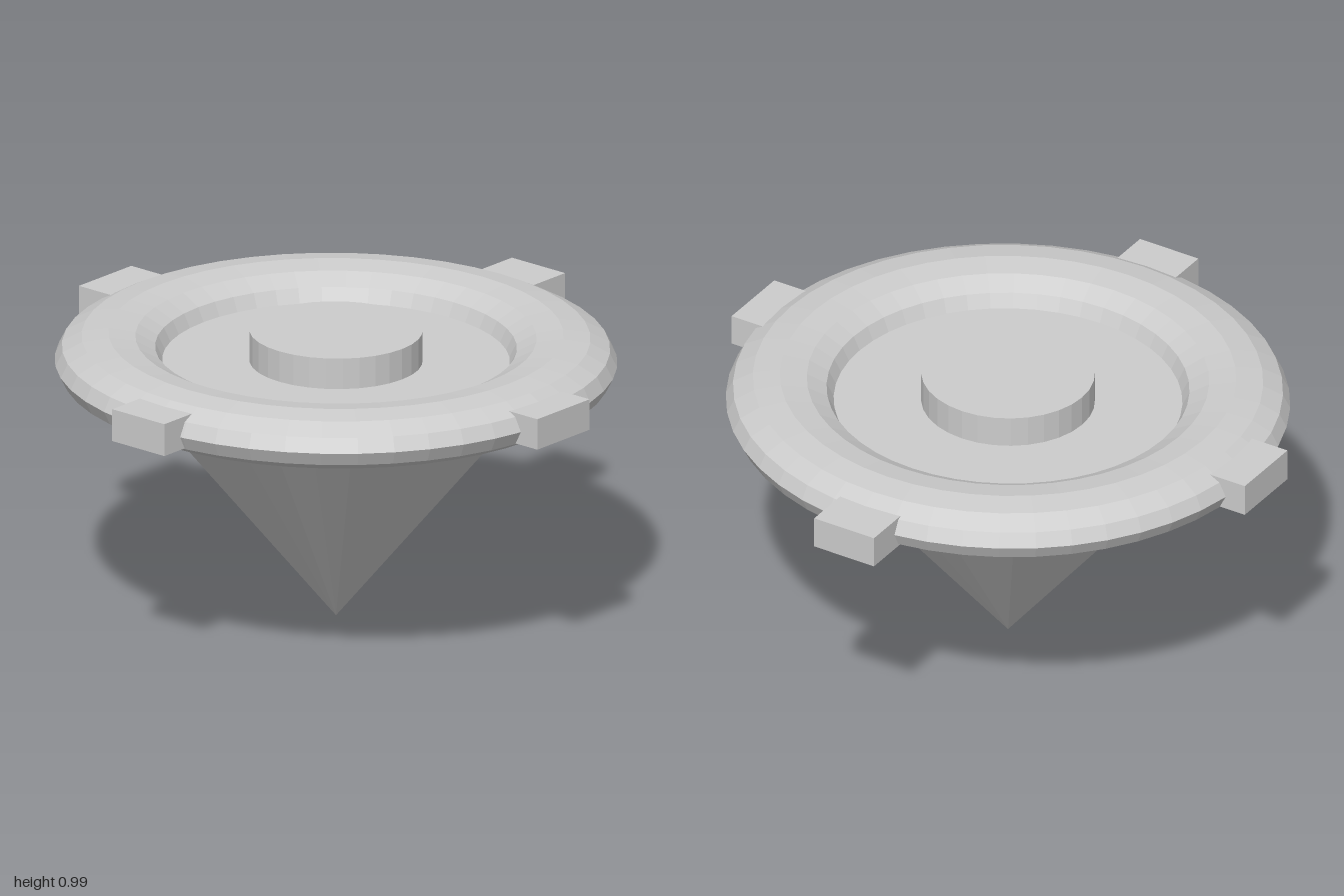
import * as THREE from 'three';

export function createModel() {
  const model = new THREE.Group();
  const material = new THREE.MeshStandardMaterial({ color: 0xcccccc, flatShading: true });
  const add = (name, geometry, parent, x, y, z) => {
    const mesh = new THREE.Mesh(geometry, material);
    mesh.name = name;
    mesh.position.set(x, y, z);
    parent.add(mesh);
    return mesh;
  };

  // Round body, very slightly narrower across x
  const body = new THREE.Group();
  body.name = 'body';
  body.position.x = -0.022;
  body.scale.x = 0.98;
  model.add(body);

  // Flattened twelve-sided rim
  const rim = new THREE.TorusGeometry(0.748, 0.177, 12, 48);
  rim.rotateX(Math.PI / 2);
  rim.scale(1, 0.094 / 0.177, 1);
  add('rim', rim, body, 0, 0.879, 0);

  // Downward cone; its cap is the recessed floor inside the rim
  const cone = new THREE.ConeGeometry(0.725, 0.88, 32);
  cone.rotateX(Math.PI);
  add('cone', cone, body, 0, 0.44, 0);

  // Raised disc in the middle of the floor
  add('centreDisc', new THREE.CylinderGeometry(0.285, 0.285, 0.125, 32), body, 0, 0.9225, 0);

  // Four lugs: name, x range, y range, z range
  const lugs = [
    ['frontLug', [-0.155, 0.105], [0.835, 0.94], [0.83, 0.985]],
    ['backLug', [-0.16, 0.1], [0.835, 0.945], [-0.99, -0.83]],
    ['leftLug', [0.81, 1], [0.825, 0.933], [-0.13, 0.1]],
    ['rightLug', [-1, -0.84], [0.835, 0.945], [-0.115, 0.11]],
  ];
  for (const [name, ...ranges] of lugs) {
    const size = ranges.map(([a, b]) => b - a);
    const centre = ranges.map(([a, b]) => (a + b) / 2);
    add(name, new THREE.BoxGeometry(...size), model, ...centre);
  }
  return model;
}
